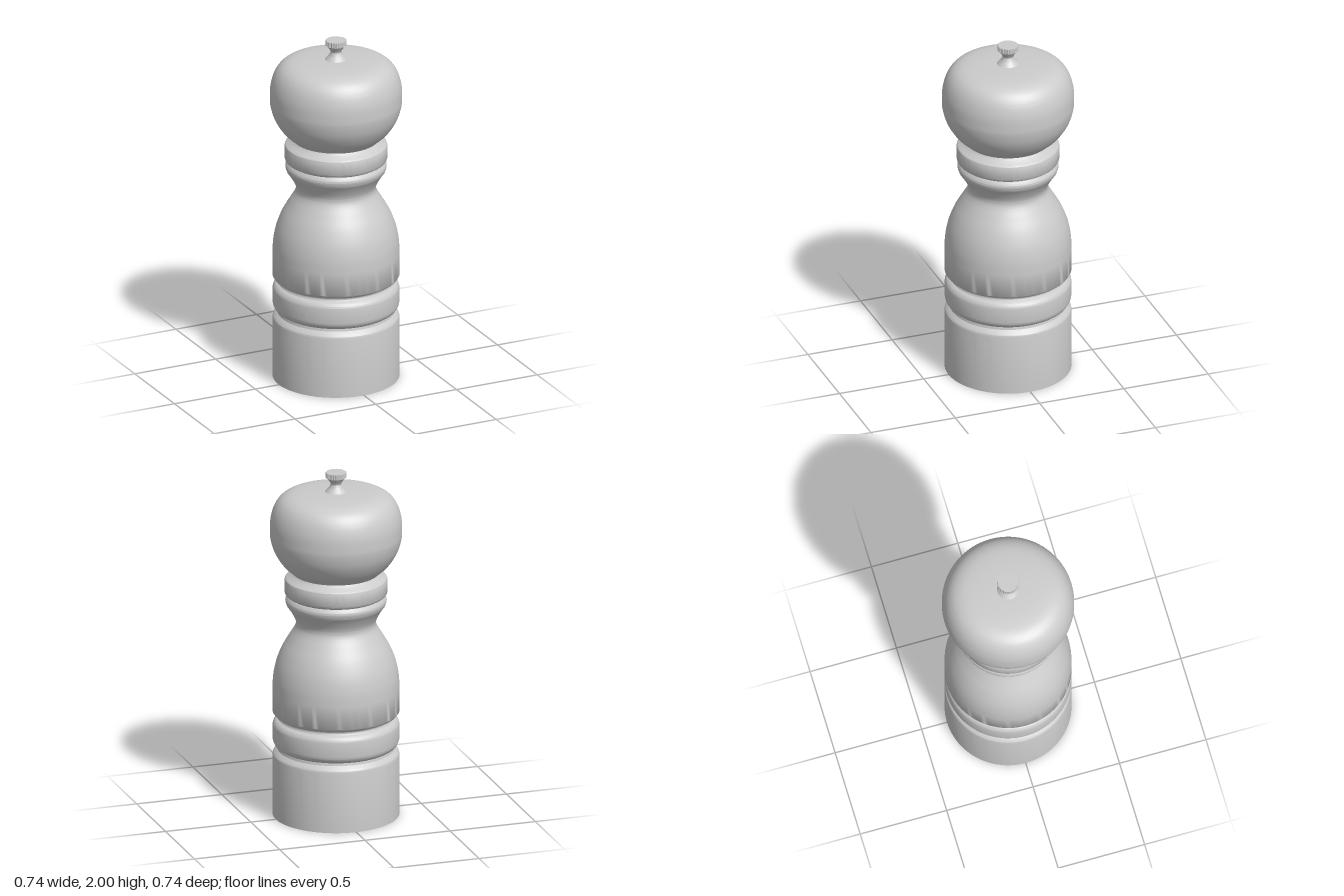
import * as THREE from 'three';
import { toCreasedNormals } from 'three/addons/utils/BufferGeometryUtils.js';

const material = new THREE.MeshStandardMaterial({ color: 0xcccccc });
const SEGMENTS = 96;

// Turned part: start point, then runs of points; a run of one is a straight line, longer runs are smooth curves
function turned(name, start, runs) {
  const path = new THREE.Path();
  path.moveTo(...start);
  for (const run of runs) {
    if (run.length === 1) path.lineTo(...run[0]);
    else path.splineThru(run.map(([r, y]) => new THREE.Vector2(r, y)));
  }
  const geometry = new THREE.LatheGeometry(path.getPoints(6), SEGMENTS);
  const mesh = new THREE.Mesh(toCreasedNormals(geometry, 0.6), material);
  mesh.name = name;
  return mesh;
}

export function createModel() {
  const mill = new THREE.Group();
  mill.name = 'pepperMill';

  // Body: straight foot, two grooves around a band, shoulder, waist and flared collar
  mill.add(turned('body', [0, 0], [
    [[0.353, 0]],
    [[0.353, 0.345]],
    [[0.35, 0.36], [0.34, 0.372], [0.326, 0.385]],
    [[0.323, 0.4]],
    [[0.338, 0.41], [0.35, 0.43], [0.353, 0.45]],
    [[0.353, 0.515]],
    [[0.35, 0.535], [0.338, 0.553], [0.322, 0.562]],
    [[0.317, 0.575], [0.325, 0.587]],
    [[0.343, 0.592], [0.353, 0.605]],
    [[0.353, 0.74]],
    [[0.349, 0.81], [0.333, 0.89], [0.302, 0.97], [0.262, 1.04], [0.232, 1.09],
      [0.223, 1.12], [0.229, 1.15], [0.25, 1.19], [0.274, 1.225]],
    [[0.281, 1.245], [0.281, 1.26], [0.272, 1.277]],
    [[0.262, 1.283]],
    [[0, 1.283]],
  ]));

  // Collar ring between body and head
  mill.add(turned('collarRing', [0, 1.28], [
    [[0.262, 1.28]],
    [[0.28, 1.291], [0.286, 1.303]],
    [[0.286, 1.37]],
    [[0.282, 1.382], [0.265, 1.393], [0.248, 1.405]],
    [[0.238, 1.418]],
    [[0, 1.418]],
  ]));

  // Rounded head
  mill.add(turned('head', [0, 1.412], [
    [[0.236, 1.412]],
    [[0.25, 1.425], [0.298, 1.47], [0.342, 1.54], [0.364, 1.61], [0.368, 1.665],
      [0.364, 1.73], [0.345, 1.795], [0.312, 1.842], [0.265, 1.869], [0.2, 1.881], [0.1, 1.887], [0, 1.888]],
  ]));

  // Finial stem
  mill.add(turned('finialStem', [0.064, 1.884], [
    [[0.056, 1.893], [0.04, 1.911], [0.031, 1.928]],
    [[0.031, 1.937]],
    [[0.042, 1.955], [0.055, 1.973]],
    [[0, 1.974]],
  ]));

  // Knurled finial cap
  const teeth = 36;
  const outline = new THREE.Shape();
  for (let i = 0; i < teeth * 2; i++) {
    const a = (i / (teeth * 2)) * Math.PI * 2;
    const r = i % 2 ? 0.055 : 0.058;
    outline[i ? 'lineTo' : 'moveTo'](r * Math.cos(a), r * Math.sin(a));
  }
  const capGeometry = new THREE.ExtrudeGeometry(outline, { depth: 0.03, bevelEnabled: false });
  capGeometry.rotateX(-Math.PI / 2);
  const cap = new THREE.Mesh(capGeometry, material);
  cap.name = 'finialCap';
  cap.position.y = 1.97;
  mill.add(cap);

  return mill;
}
